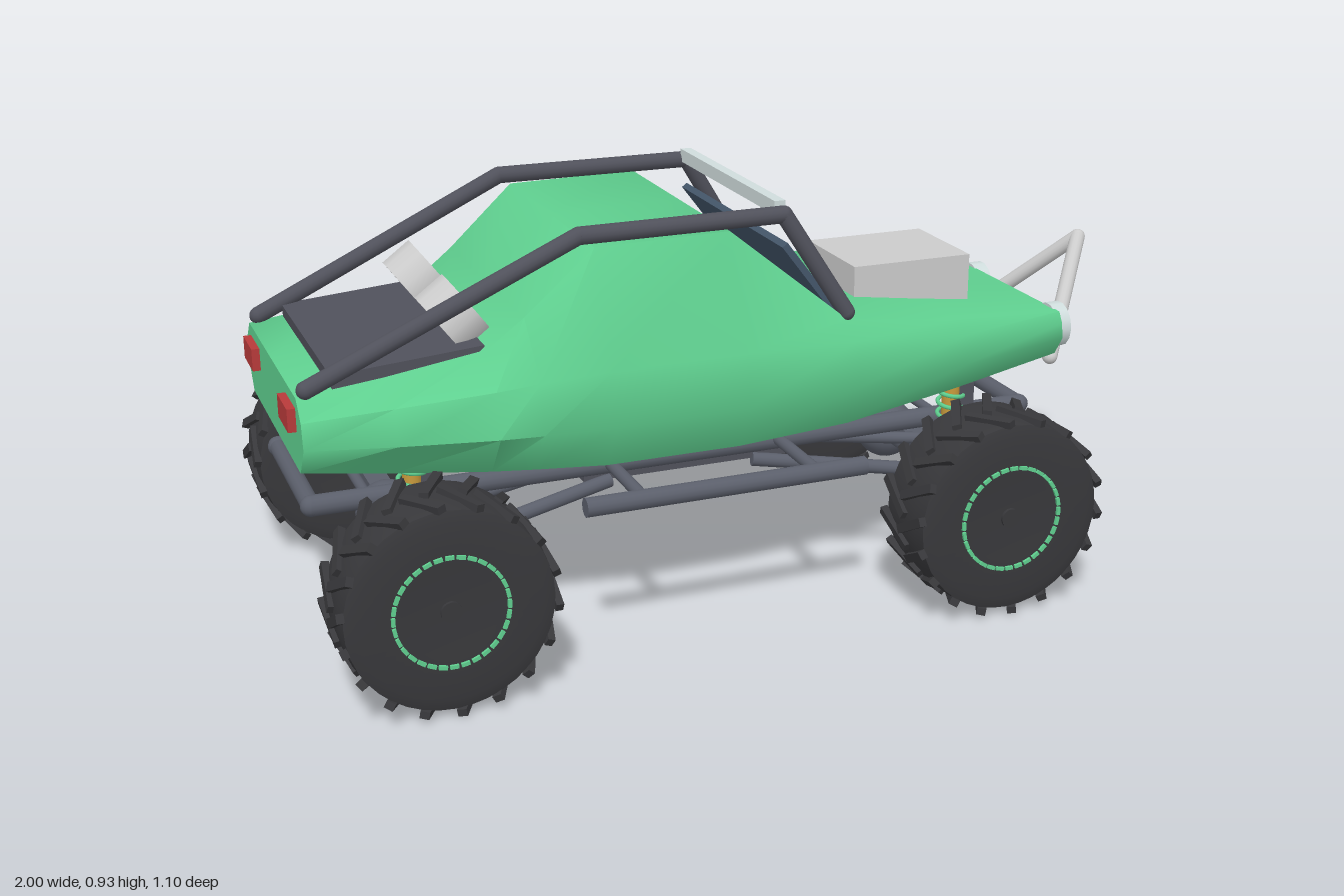
import * as THREE from 'three';
import { toCreasedNormals } from 'three/addons/utils/BufferGeometryUtils.js';

const V = (x, y, z) => new THREE.Vector3(x, y, z);
const paint = (color) => new THREE.MeshStandardMaterial({ color });
const green = paint(0x5fcf8f), dark = paint(0x50515b), tyreBlack = paint(0x38383b), red = paint(0xb83a3a);
const steel = paint(0x5b5f6b), silver = paint(0xcccccc), glass = paint(0x44566a), lamp = paint(0xcfdcdc), gold = paint(0xc89a3c);

export function createModel() {
  const root = new THREE.Group();

  const add = (name, geo, mat, pos = [0, 0, 0], parent = root) => {
    const m = new THREE.Mesh(geo, mat);
    m.name = name;
    m.position.set(...pos);
    parent.add(m);
    return m;
  };
  const box = (name, size, pos, mat, parent) => add(name, new THREE.BoxGeometry(...size), mat, pos, parent);
  // Round bar between two points
  const strut = (name, a, b, r, mat, parent) => {
    const d = b.clone().sub(a);
    const m = add(name, new THREE.CylinderGeometry(r, r, d.length(), 14), mat, a.clone().add(b).multiplyScalar(0.5).toArray(), parent);
    m.quaternion.setFromUnitVectors(V(0, 1, 0), d.normalize());
    return m;
  };
  // Chain of bars with round joints
  const pipe = (name, pts, r, mat) => {
    const g = new THREE.Group();
    g.name = name;
    root.add(g);
    pts.forEach((p, i) => {
      add(name + 'Joint', new THREE.SphereGeometry(r, 14, 10), mat, p.toArray(), g);
      if (i) strut(name + 'Bar', pts[i - 1], p, r, mat, g);
    });
  };

  // Body shell: x, floor y, floor width, waist width, shoulder width, shoulder y, top width, top y (half widths)
  const stations = [
    [-0.98, 0.46, 0.27, 0.32, 0.31, 0.58, 0.27, 0.62],
    [-0.8, 0.445, 0.30, 0.365, 0.35, 0.60, 0.28, 0.64],
    [-0.6, 0.43, 0.33, 0.405, 0.385, 0.62, 0.285, 0.67],
    [-0.51, 0.425, 0.34, 0.415, 0.395, 0.63, 0.29, 0.74],
    [-0.36, 0.42, 0.36, 0.425, 0.405, 0.64, 0.30, 0.875],
    [-0.06, 0.42, 0.36, 0.42, 0.40, 0.64, 0.30, 0.88],
    [0.21, 0.425, 0.33, 0.385, 0.37, 0.625, 0.32, 0.66],
    [0.5, 0.45, 0.28, 0.335, 0.325, 0.59, 0.29, 0.62],
    [0.8, 0.48, 0.22, 0.25, 0.245, 0.56, 0.23, 0.585],
  ];
  const pos = [], idx = [];
  let n = 0;
  for (const [x, yb, wb, wm, ws, ys, wt, yt] of stations) {
    const half = [[wb, yb], [wm, 0.525], [ws, ys], [wt, yt]];
    const loop = [[0, yb], ...half, [0, yt], ...half.slice().reverse().map(([z, y]) => [-z, y])];
    n = loop.length;
    loop.forEach(([z, y]) => pos.push(x, y, z));
  }
  for (let i = 0; i < stations.length - 1; i++) {
    for (let j = 0; j < n; j++) {
      const a = i * n + j, d = i * n + (j + 1) % n;
      idx.push(a, a + n, d + n, a, d + n, d);
    }
  }
  for (let j = 1; j < n - 1; j++) idx.push(0, j, j + 1); // tail panel
  const shell = new THREE.BufferGeometry();
  shell.setAttribute('position', new THREE.Float32BufferAttribute(pos, 3));
  shell.setIndex(idx);
  add('bodyShell', toCreasedNormals(shell, 0.85), green);

  // Windscreen, hood scoop, rear deck and roof light bar
  box('windscreen', [0.2, 0.015, 0.59], [0.13, 0.755, 0], glass).rotation.z = -0.92;
  box('hoodScoop', [0.295, 0.11, 0.25], [0.467, 0.66, 0], silver);
  box('rearDeck', [0.32, 0.08, 0.53], [-0.745, 0.63, 0], dark).rotation.z = 0.08;
  box('roofLightBar', [0.025, 0.03, 0.55], [0.065, 0.913, 0], lamp);

  for (const s of [1, -1]) {
    // Cage, lamps, seats and deck canisters
    pipe('rollCage', [V(-0.96, 0.635, s * 0.27), V(-0.39, 0.9, s * 0.29), V(0.07, 0.9, s * 0.285), V(0.21, 0.675, s * 0.31)], 0.019, dark);
    strut('headlight', V(0.795, 0.54, s * 0.185), V(0.83, 0.54, s * 0.185), 0.053, lamp);
    box('tailLight', [0.025, 0.05, 0.105], [-0.985, 0.57, s * 0.205], red);
    strut('deckCanister', V(-0.65, 0.695, s * 0.145), V(-0.59, 0.74, s * 0.145), 0.08, silver);
    box('seat', [0.25, 0.07, 0.15], [-0.1, 0.495, s * 0.175], dark);
    pipe('frontBar', [V(0.8, 0.465, s * 0.2), V(0.985, 0.69, 0)], 0.018, silver);

    // Frame rails and side sliders
    pipe('frameRail', [V(-0.95, 0.352, s * 0.185), V(0.73, 0.352, s * 0.185)], 0.023, steel);
    strut('sideSlider', V(-0.43, 0.358, s * 0.42), V(0.21, 0.358, s * 0.42), 0.021, steel);
    strut('sliderMount', V(-0.3, 0.358, s * 0.18), V(-0.3, 0.358, s * 0.42), 0.014, steel);
    strut('sliderMount', V(0.1, 0.358, s * 0.18), V(0.1, 0.358, s * 0.42), 0.014, steel);
  }
  box('skidPlate', [0.5, 0.025, 0.34], [-0.1, 0.32, 0], dark);
  for (const x of [-0.95, -0.3, 0.1, 0.73]) strut('crossMember', V(x, 0.352, -0.185), V(x, 0.352, 0.185), 0.02, steel);

  // Coil spring path
  class Coil extends THREE.Curve {
    getPoint(t, out = V(0, 0, 0)) {
      const a = t * Math.PI * 12;
      return out.set(Math.cos(a) * 0.029, t * 0.17, Math.sin(a) * 0.029);
    }
  }
  const coil = new THREE.TubeGeometry(new Coil(), 120, 0.005, 6);

  // Axles with suspension: dir points from the axle towards the middle
  for (const [x, dir, diffZ] of [[0.51, -1, -0.07], [-0.75, 1, 0]]) {
    strut('axle', V(x, 0.235, -0.4), V(x, 0.235, 0.4), 0.025, steel);
    add('differential', new THREE.SphereGeometry(0.072, 24, 16), steel, [x, 0.235, diffZ]);
    strut('driveShaft', V(x, 0.24, diffZ), V(-0.1 - dir * 0.15, 0.31, 0), 0.018, steel);
    box('springPerch', [0.05, 0.03, 0.56], [x, 0.265, 0], steel);
    strut('trackBar', V(x - dir * 0.06, 0.31, -0.2), V(x - dir * 0.06, 0.31, 0.2), 0.012, steel);
    for (const s of [1, -1]) {
      add('coilSpring', coil, green, [x, 0.28, s * 0.25]);
      strut('damper', V(x, 0.27, s * 0.25), V(x, 0.38, s * 0.25), 0.011, silver);
      strut('damperBody', V(x, 0.37, s * 0.25), V(x, 0.45, s * 0.25), 0.02, gold);
      box('shockTower', [0.05, 0.08, 0.06], [x + 0.03, 0.41, s * 0.23], dark);
      strut('lowerLink', V(x, 0.24, s * 0.26), V(x + dir * 0.46, 0.305, s * 0.17), 0.016, steel);
      strut('upperLink', V(x, 0.3, s * 0.2), V(x + dir * 0.44, 0.335, s * 0.1), 0.014, steel);
    }
  }

  // Wheels: outer face towards local +z
  const profile = [[0, -0.075], [0.1, -0.08], [0.19, -0.09], [0.215, -0.082], [0.219, -0.05],
    [0.219, 0.05], [0.215, 0.082], [0.19, 0.09], [0.1, 0.085], [0, 0.08]];
  const tyre = toCreasedNormals(new THREE.LatheGeometry(profile.map((p) => new THREE.Vector2(...p)), 40), 0.7).rotateX(Math.PI / 2);
  const lug = new THREE.BoxGeometry(0.02, 0.016, 0.115);
  const bead = new THREE.BoxGeometry(0.018, 0.008, 0.012);
  for (const x of [0.51, -0.75]) {
    for (const s of [1, -1]) {
      const wheel = new THREE.Group();
      wheel.name = 'wheel';
      wheel.position.set(x, 0.233, s * 0.455);
      if (s < 0) wheel.rotation.y = Math.PI;
      root.add(wheel);
      add('tyre', tyre, tyreBlack, [0, 0, 0], wheel);
      const count = 18;
      for (let i = 0; i < count * 2; i++) {
        const side = i % 2 ? 1 : -1, a = (i / (count * 2)) * Math.PI * 2;
        const spoke = new THREE.Group();
        spoke.name = 'treadSpoke';
        spoke.rotation.z = a;
        wheel.add(spoke);
        add('treadLug', lug, tyreBlack, [0, 0.221, side * 0.04], spoke).rotation.y = side * 0.5;
      }
      for (let i = 0; i < 32; i++) {
        const a = (i / 32) * Math.PI * 2;
        add('rimBead', bead, green, [Math.cos(a) * 0.118, Math.sin(a) * 0.118, 0.086], wheel).rotation.z = a + Math.PI / 2;
      }
      add('hubCap', new THREE.CylinderGeometry(0.022, 0.022, 0.012, 16).rotateX(Math.PI / 2), tyreBlack, [0, 0, 0.082], wheel);
    }
  }
  return root;
}
